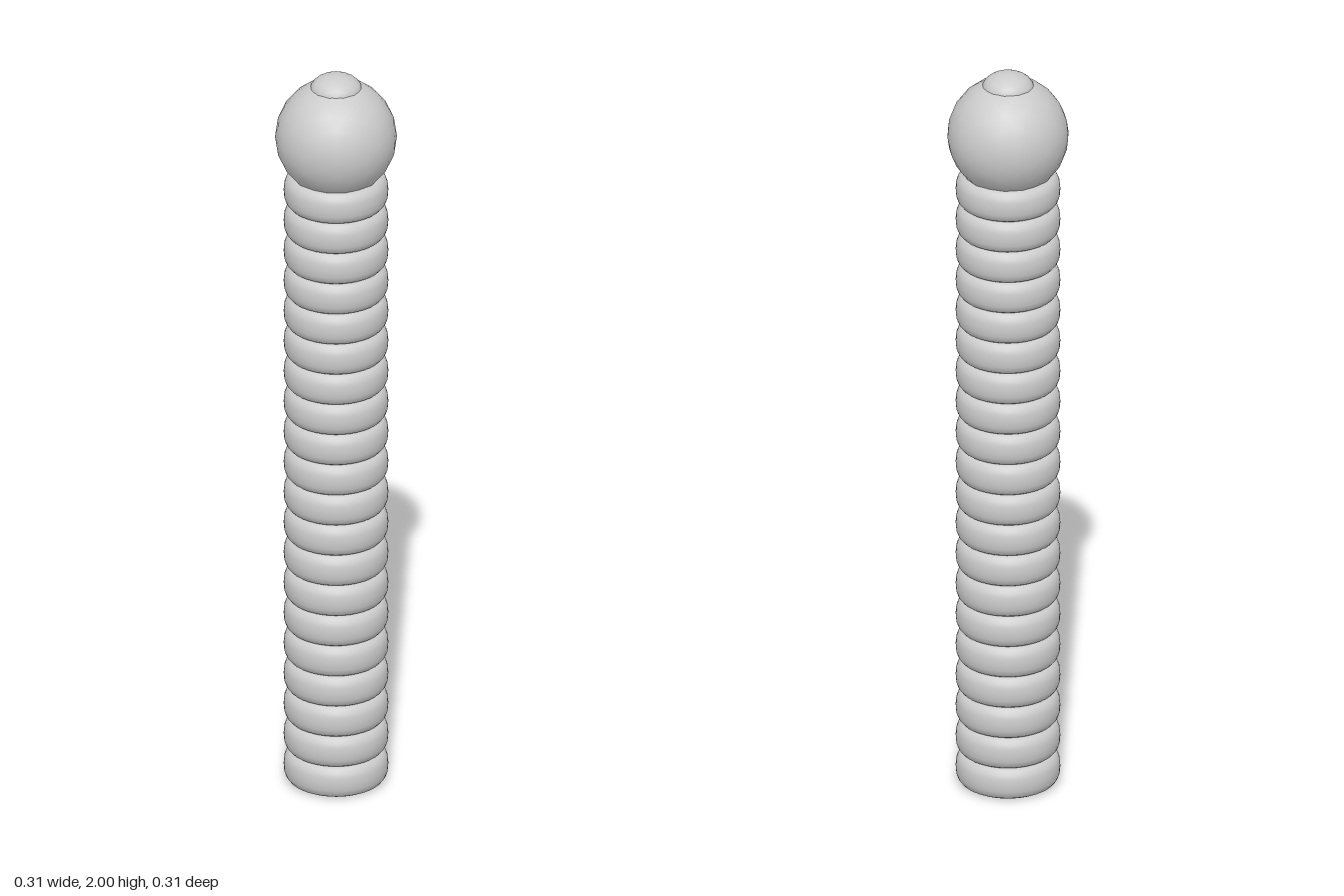
import * as THREE from 'three';

const material = new THREE.MeshStandardMaterial({ color: 0xcccccc });

// Closed, slightly squared oval swept round the y axis
function ringGeometry(radius, halfWidth, halfHeight, steps = 20) {
  const soften = (v) => Math.sign(v) * Math.abs(v) ** 0.8;
  const points = [];
  for (let i = 0; i <= steps; i++) {
    const a = (i / steps) * Math.PI * 2 - Math.PI;
    points.push(new THREE.Vector2(
      radius + halfWidth * soften(Math.cos(a)),
      halfHeight * soften(Math.sin(a))
    ));
  }
  return new THREE.LatheGeometry(points, 40);
}

export function createModel() {
  const model = new THREE.Group();
  model.name = 'ribbedRod';

  const add = (name, geometry, y) => {
    const mesh = new THREE.Mesh(geometry, material);
    mesh.name = name;
    mesh.position.y = y;
    model.add(mesh);
    return mesh;
  };

  // Hollow shaft of stacked rings
  const count = 20;
  const pitch = 0.0858;
  const halfHeight = 0.0445;
  const ring = ringGeometry(0.099, 0.035, halfHeight);
  for (let i = 0; i < count; i++) add('shaftRing', ring, halfHeight + i * pitch);

  // Round head, faintly faceted outline with smooth shading
  add('head', new THREE.IcosahedronGeometry(0.156, 3), 1.826);

  // Low domed button on top
  const button = add('topButton', new THREE.IcosahedronGeometry(0.067, 3), 1.958);
  button.scale.y = 0.042 / 0.067;

  return model;
}
